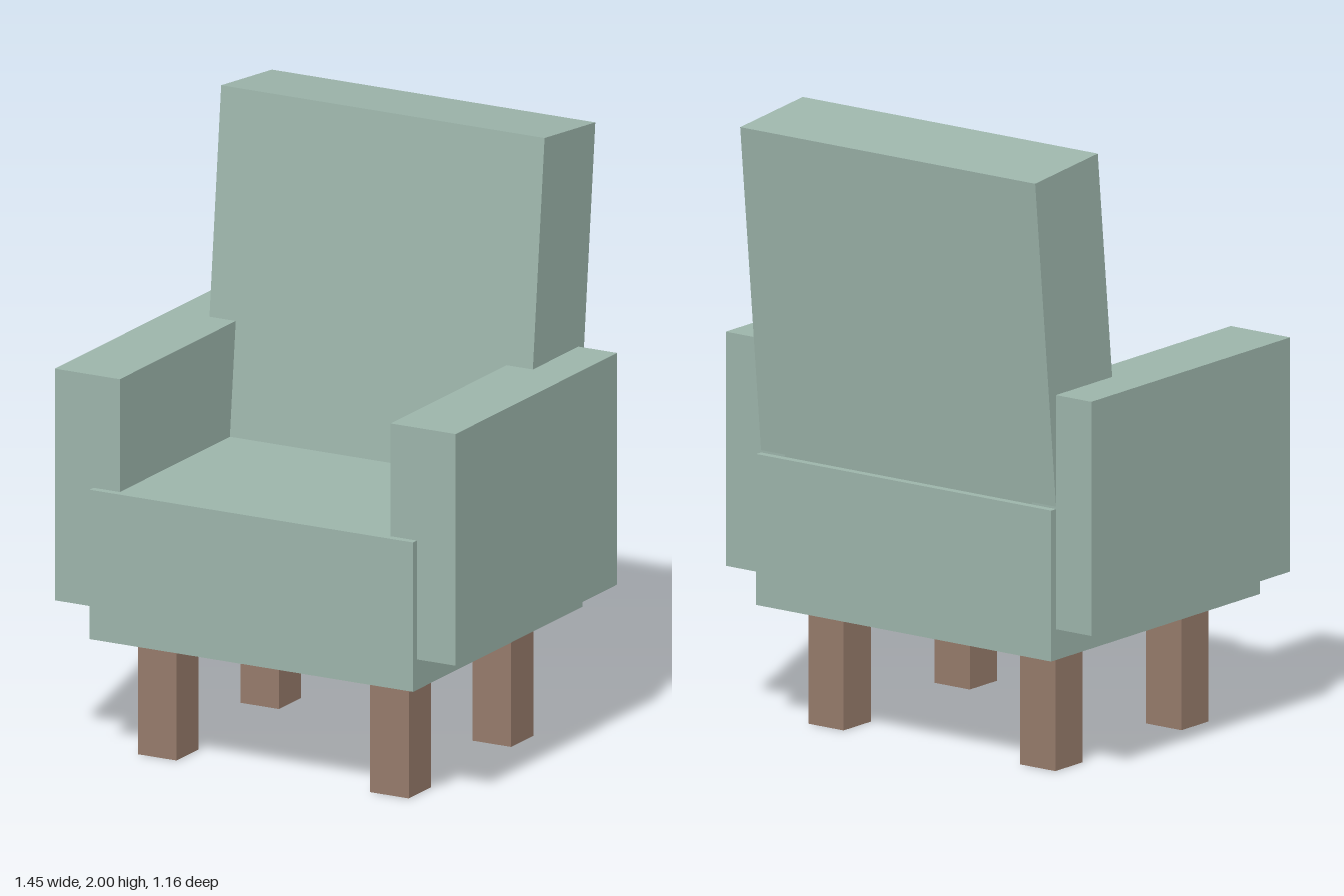
import * as THREE from 'three';

const fabric = new THREE.MeshStandardMaterial({ color: 0x9db5ab, flatShading: true });
const wood = new THREE.MeshStandardMaterial({ color: 0x967b6b, flatShading: true });

// Box mesh given by its extents along each axis
function block(name, material, [x0, x1], [y0, y1], [z0, z1]) {
  const geometry = new THREE.BoxGeometry(x1 - x0, y1 - y0, z1 - z0);
  const mesh = new THREE.Mesh(geometry, material);
  mesh.position.set((x0 + x1) / 2, (y0 + y1) / 2, (z0 + z1) / 2);
  mesh.name = name;
  return mesh;
}

export function createModel() {
  const chair = new THREE.Group();
  chair.name = 'armchair';

  // Seat block
  chair.add(block('seat', fabric, [-0.585, 0.585], [0.4, 0.89], [-0.495, 0.58]));

  // Backrest, hinged at its top front edge and leaning back into the seat
  const backrest = new THREE.Group();
  backrest.name = 'backrest';
  backrest.add(block('backCushion', fabric, [-0.585, 0.585], [-1.15, 0], [-0.324, 0]));
  backrest.position.set(0, 2, -0.255);
  backrest.rotation.x = -0.1;
  chair.add(backrest);

  // Armrests and legs, mirrored left and right
  for (const [side, s] of [['left', 1], ['right', -1]]) {
    const span = (a, b) => (s > 0 ? [a, b] : [-b, -a]);
    chair.add(block(`${side}Armrest`, fabric, span(0.49, 0.725), [0.5, 1.26], [-0.47, 0.555]));
    chair.add(block(`${side}FrontLeg`, wood, span(0.35, 0.49), [0, 0.4], [0.3, 0.44]));
    chair.add(block(`${side}BackLeg`, wood, span(0.35, 0.49), [0, 0.4], [-0.35, -0.21]));
  }
  return chair;
}
